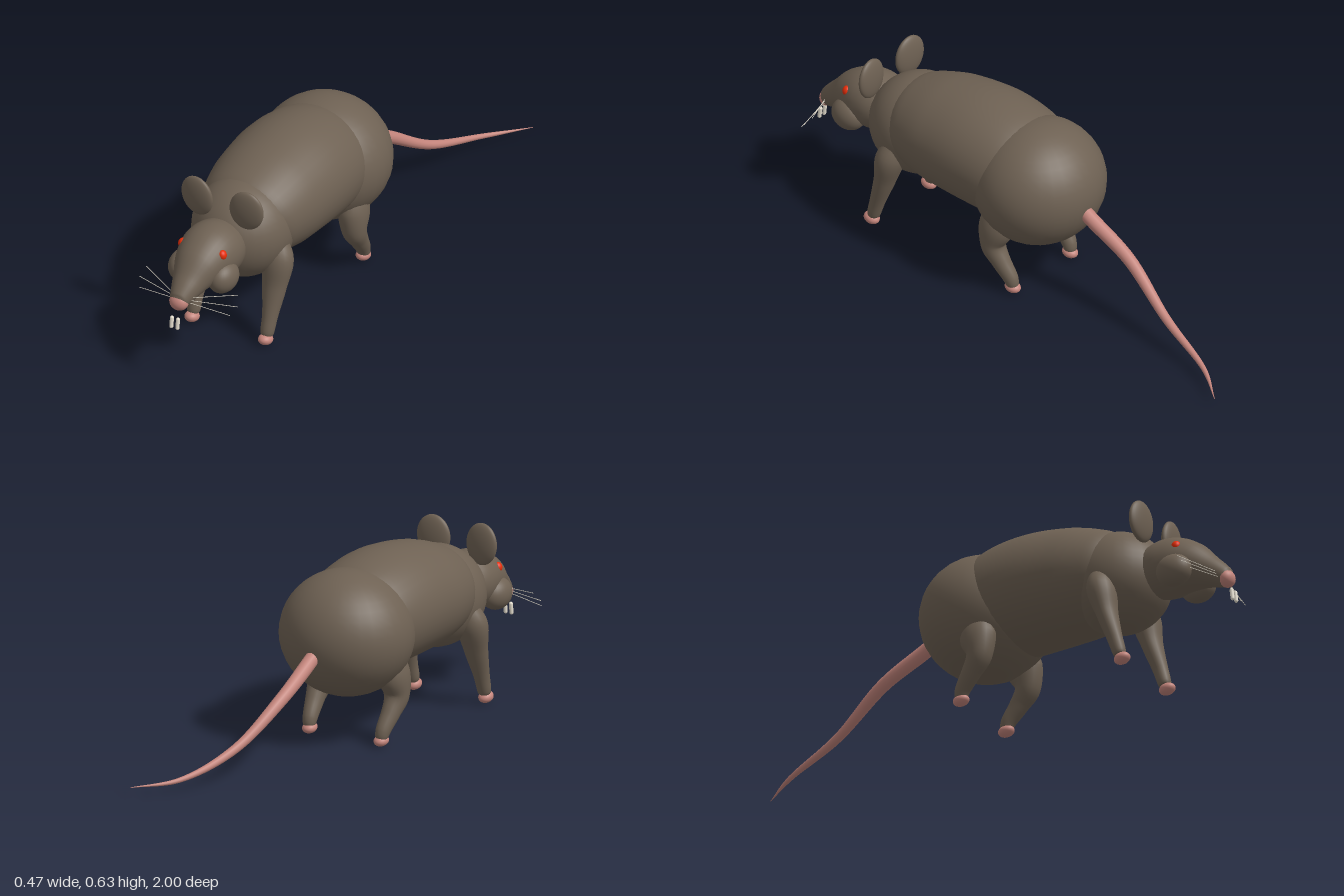
import * as THREE from 'three';

const mat = (name, color) => {
  const m = new THREE.MeshStandardMaterial({ color });
  m.name = name;
  return m;
};

// Smooth skin over elliptical sections [x, y, z, radiusX, radiusY] set across the path.
function loft(sections, steps = 36, sides = 28) {
  const path = new THREE.CatmullRomCurve3(sections.map(s => new THREE.Vector3(s[0], s[1], s[2])));
  const radii = new THREE.CatmullRomCurve3(sections.map(s => new THREE.Vector3(s[3], s[4], 0)), false, 'catmullrom', 0.4);
  const pos = [], index = [];
  for (let i = 0; i <= steps; i++) {
    const c = path.getPoint(i / steps), r = radii.getPoint(i / steps), t = path.getTangent(i / steps);
    const side = new THREE.Vector3(1, 0, 0).addScaledVector(t, -t.x).normalize();
    const up = new THREE.Vector3().crossVectors(t, side);
    for (let j = 0; j < sides; j++) {
      const a = (j / sides) * Math.PI * 2;
      const p = c.clone()
        .addScaledVector(side, Math.cos(a) * Math.max(r.x, 0.0005))
        .addScaledVector(up, Math.sin(a) * Math.max(r.y, 0.0005));
      pos.push(p.x, p.y, p.z);
      if (i < steps) {
        const k = (j + 1) % sides, n = i * sides;
        index.push(n + j, n + k, n + sides + j, n + k, n + sides + k, n + sides + j);
      }
    }
  }
  const g = new THREE.BufferGeometry();
  g.setAttribute('position', new THREE.Float32BufferAttribute(pos, 3));
  g.setIndex(index);
  g.computeVertexNormals();
  return g;
}

export function createModel() {
  const model = new THREE.Group();
  model.name = 'rat';
  const fur = mat('brown fur', 0x6e6153);
  const skin = mat('pink skin', 0xc4857c);
  const red = mat('red eye', 0xe62e08);
  const ivory = mat('ivory', 0xe6dfd0);

  const add = (name, geometry, material) => {
    const m = new THREE.Mesh(geometry, material);
    m.name = name;
    model.add(m);
    return m;
  };
  const ball = (name, material, p, r, rot = [0, 0, 0]) => {
    const m = add(name, new THREE.SphereGeometry(1, 32, 22), material);
    m.position.set(...p);
    m.scale.set(...r);
    m.rotation.set(...rot);
    return m;
  };

  // Body masses
  ball('rump', fur, [0, 0.38, 0], [0.236, 0.22, 0.228]);
  add('torso', loft([
    [0, 0.4, -0.08, 0, 0], [0, 0.4, -0.04, 0.14, 0.13], [0, 0.41, 0.07, 0.208, 0.19],
    [0, 0.425, 0.22, 0.222, 0.202], [0, 0.42, 0.38, 0.212, 0.192],
    [0, 0.41, 0.5, 0.186, 0.166], [0, 0.4, 0.58, 0.13, 0.12], [0, 0.4, 0.62, 0, 0],
  ], 48, 40), fur);
  ball('shoulders', fur, [0, 0.383, 0.535], [0.178, 0.178, 0.185]);

  // Head tapering to the snout
  add('head', loft([
    [0, 0.385, 0.62, 0, 0], [0, 0.385, 0.65, 0.08, 0.075], [0, 0.387, 0.71, 0.105, 0.1],
    [0, 0.389, 0.765, 0.106, 0.102], [0, 0.375, 0.825, 0.092, 0.087],
    [0, 0.333, 0.91, 0.056, 0.052], [0, 0.302, 0.965, 0.034, 0.034],
    [0, 0.298, 0.982, 0.018, 0.018], [0, 0.298, 0.986, 0, 0],
  ], 48, 32), fur);
  ball('nose', skin, [0, 0.298, 0.963], [0.035, 0.031, 0.028]);

  // Features mirrored on both sides
  for (const s of [-1, 1]) {
    const label = s > 0 ? 'left' : 'right';
    ball(label + 'Cheek', fur, [s * 0.078, 0.338, 0.8], [0.05, 0.057, 0.066]);
    ball(label + 'Ear', fur, [s * 0.098, 0.543, 0.68], [0.064, 0.074, 0.021], [0.03, s * 0.08, s * -0.1]);
    ball(label + 'Eye', red, [s * 0.079, 0.428, 0.808], [0.015, 0.018, 0.016], [0, 0, s * 0.3]);

    const tooth = add(label + 'Tooth', new THREE.CapsuleGeometry(0.007, 0.032, 6, 12), ivory);
    tooth.position.set(s * 0.012, 0.228, 0.991);
    tooth.rotation.x = -0.12;

    [[0.182, 0.335, 0.875], [0.195, 0.305, 0.9], [0.18, 0.279, 0.925]].forEach(([x, y, z], i) => {
      const curve = new THREE.LineCurve3(
        new THREE.Vector3(s * 0.025, 0.313 - i * 0.008, 0.95), new THREE.Vector3(s * x, y, z));
      add(label + 'Whisker' + (i + 1), new THREE.TubeGeometry(curve, 1, 0.0012, 5), ivory);
    });

    // Straight front leg
    add(label + 'FrontLeg', loft([
      [s * 0.13, 0.38, 0.53, 0.03, 0.03], [s * 0.143, 0.3, 0.55, 0.058, 0.05],
      [s * 0.145, 0.2, 0.575, 0.044, 0.036], [s * 0.147, 0.1, 0.607, 0.028, 0.027],
      [s * 0.146, 0.04, 0.625, 0.023, 0.022], [s * 0.146, 0.022, 0.628, 0, 0],
    ], 30, 20), fur);
    ball(label + 'FrontPaw', skin, [s * 0.146, 0.022, 0.634], [0.025, 0.02, 0.03], [-0.2, 0, 0]);

    // Hind leg bent at the knee
    add(label + 'HindLeg', loft([
      [s * 0.13, 0.33, 0.04, 0.04, 0.05], [s * 0.15, 0.24, 0.06, 0.052, 0.066],
      [s * 0.157, 0.165, 0.068, 0.044, 0.045], [s * 0.155, 0.11, 0.035, 0.033, 0.034],
      [s * 0.149, 0.055, -0.003, 0.026, 0.027], [s * 0.147, 0.028, -0.012, 0.02, 0.02],
      [s * 0.146, 0.018, -0.013, 0, 0],
    ], 36, 20), fur);
    ball(label + 'HindPaw', skin, [s * 0.146, 0.021, -0.01], [0.025, 0.019, 0.03], [-0.15, 0, 0]);
  }

  // Tapered tail with soft bends
  add('tail', loft([
    [0, 0.37, -0.16, 0.022, 0.022], [0, 0.325, -0.235, 0.026, 0.026], [0, 0.235, -0.41, 0.023, 0.023],
    [0.045, 0.107, -0.62, 0.016, 0.016], [0.116, 0.041, -0.855, 0.009, 0.009],
    [0.222, 0.032, -1.0, 0.001, 0.001],
  ], 50, 14), skin);

  return model;
}
